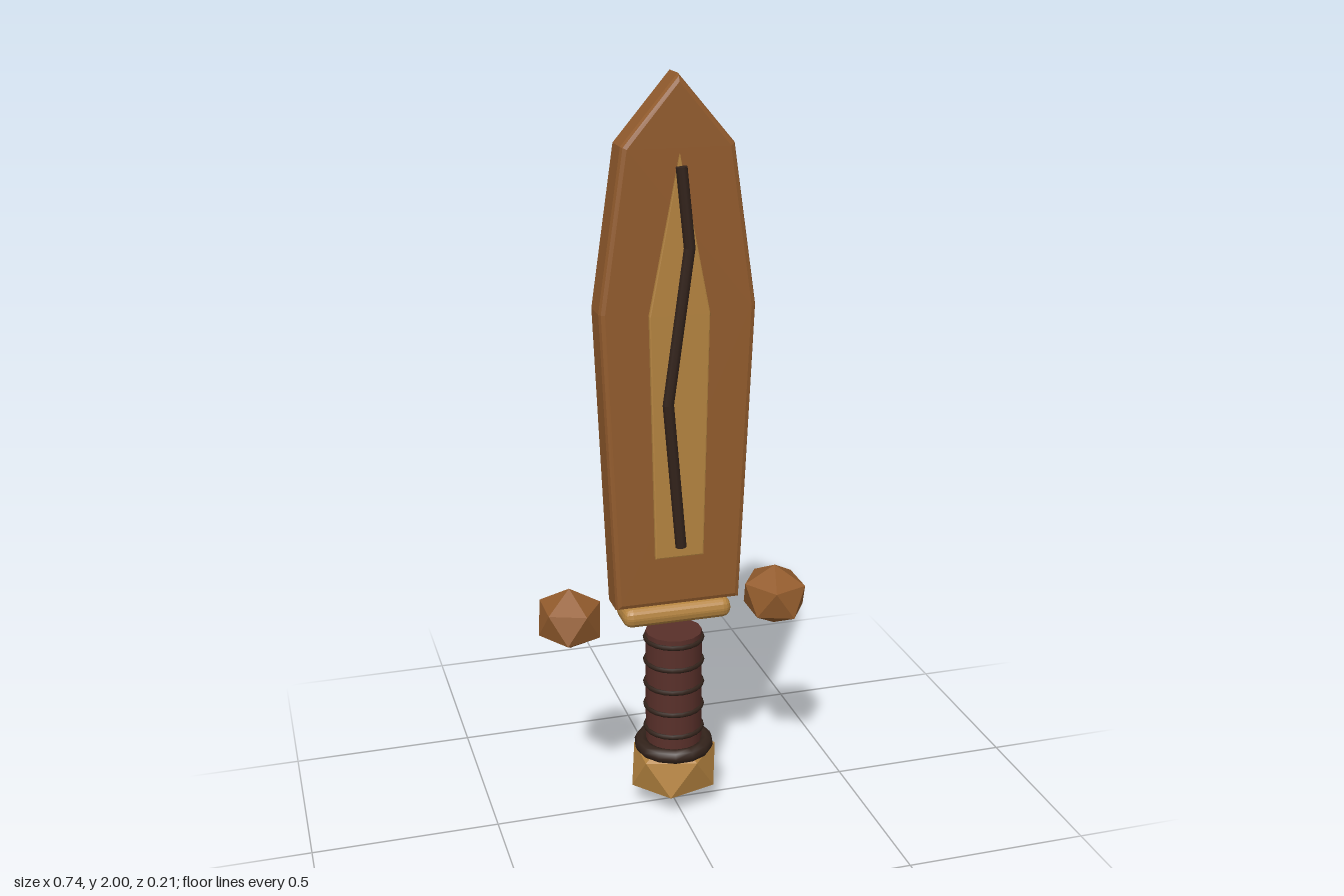
import * as THREE from 'three';
import { RoundedBoxGeometry } from 'three/addons/geometries/RoundedBoxGeometry.js';

const material = (color, flatShading = false) => new THREE.MeshStandardMaterial({ color, flatShading });

export function createModel() {
  const model = new THREE.Group();
  const wood = material(0x935c2d, true);
  const paleWood = material(0xb58440, true);
  const leather = material(0x59302a);
  const dark = material(0x33231b);

  function add(name, geometry, mat, x = 0, y = 0, z = 0) {
    const mesh = new THREE.Mesh(geometry, mat);
    mesh.name = name;
    mesh.position.set(x, y, z);
    model.add(mesh);
    return mesh;
  }

  // Bevelled plate from the right half of a symmetric outline, tip first
  function plate(half, depth, bevel) {
    const left = half.slice(1).reverse().map(([x, y]) => [-x, y]);
    const shape = new THREE.Shape([...half, ...left].map(([x, y]) => new THREE.Vector2(x, y)));
    const geometry = new THREE.ExtrudeGeometry(shape, {
      depth: depth - 2 * bevel, bevelThickness: bevel, bevelSize: bevel,
      bevelOffset: -bevel, bevelSegments: 2,
    });
    return geometry.translate(0, 0, bevel - depth / 2);
  }

  // Faceted knob standing on one corner, stretched to the given radii
  function knob(rx, ry, rz, side) {
    return new THREE.IcosahedronGeometry(1, 0).rotateZ(-0.554 * side).scale(rx, ry, rz);
  }

  // Blade and the paler inlay that shows on both faces
  add('blade', plate([[0, 2], [0.145, 1.83], [0.205, 1.42], [0.17, 0.615]], 0.1, 0.014), wood);
  add('bladeInlay', plate([[0, 1.81], [0.08, 1.41], [0.066, 0.755]], 0.114, 0.004), paleWood, 0, 0, 0.002);

  // Dark crooked strip along the front
  const strip = [[0, 1.78], [0.021, 1.58], [-0.034, 1.18], [0, 0.79]]
    .map(([x, y]) => new THREE.Vector3(x, y, 0.069));
  for (let i = 0; i < strip.length - 1; i++) {
    const along = strip[i].clone().sub(strip[i + 1]);
    const mid = strip[i].clone().add(strip[i + 1]).multiplyScalar(0.5);
    const piece = add('frontStrip', new THREE.CylinderGeometry(0.015, 0.015, along.length() + 0.002, 8),
      dark, mid.x, mid.y, mid.z);
    piece.quaternion.setFromUnitVectors(new THREE.Vector3(0, 1, 0), along.normalize());
  }

  // Guard: central collar and a knob at each side
  add('guardCollar', new RoundedBoxGeometry(0.3, 0.056, 0.11, 2, 0.025), paleWood, 0, 0.586, 0);
  for (const side of [-1, 1]) {
    add(side > 0 ? 'leftGuardKnob' : 'rightGuardKnob', knob(0.094, 0.086, 0.109, -side), wood, side * 0.287, 0.59, 0);
  }

  // Grip with wrapped rings
  add('grip', new THREE.CylinderGeometry(0.077, 0.077, 0.35, 14), leather, 0, 0.345, 0);
  for (let i = 0; i < 5; i++) {
    add('gripRing', new THREE.TorusGeometry(0.077, 0.007, 6, 20).rotateX(Math.PI / 2), dark, 0, 0.232 + i * 0.067, 0);
  }

  // Pommel
  add('pommelRing', new THREE.TorusGeometry(0.09, 0.02, 8, 14).rotateX(Math.PI / 2), dark, 0, 0.18, 0);
  add('pommel', knob(0.134, 0.108, 0.118, 1), paleWood, 0, 0.108, 0);

  return model;
}
